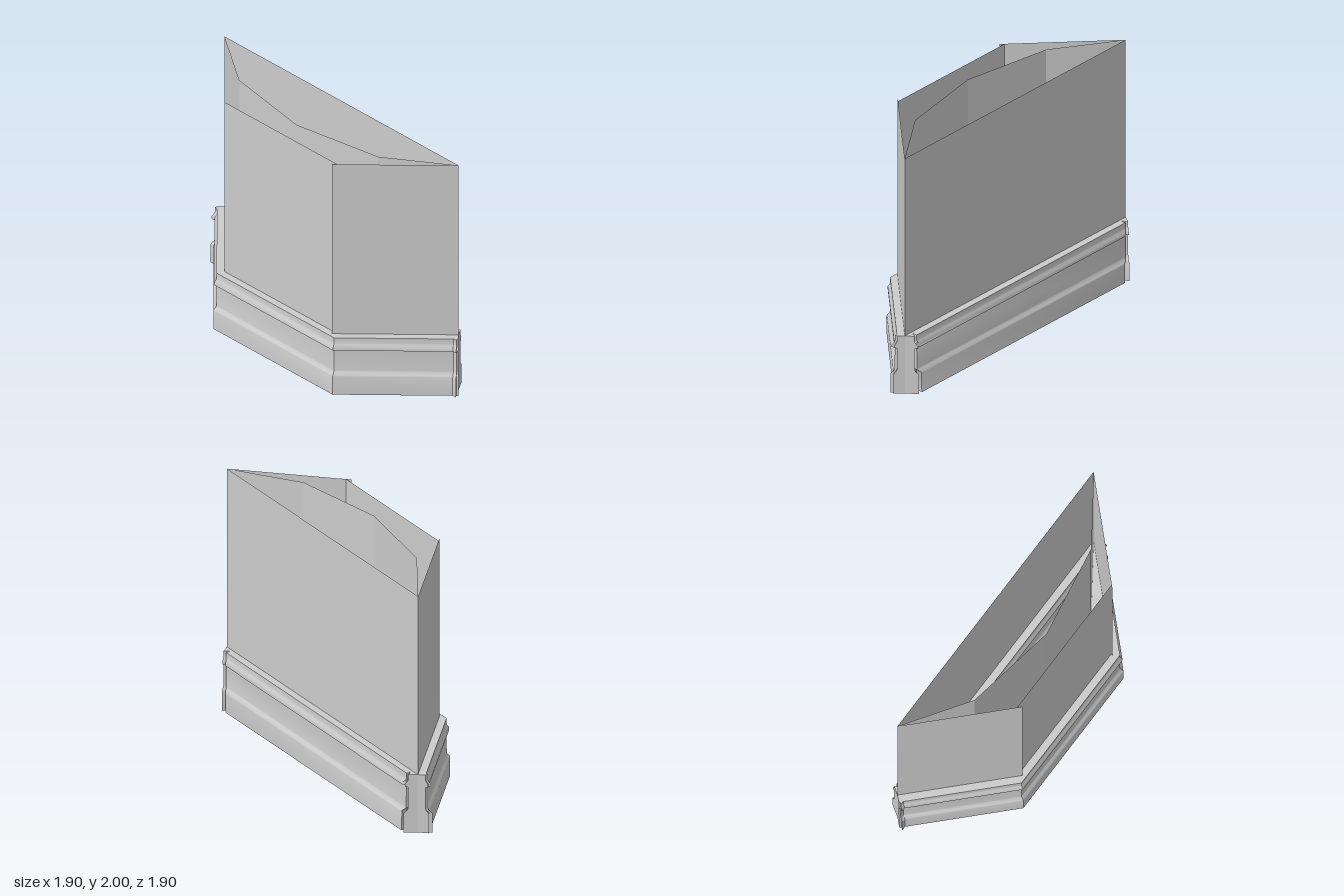
import * as THREE from 'three';
import { toCreasedNormals } from 'three/addons/utils/BufferGeometryUtils.js';

const V = (x, z) => new THREE.Vector2(x, z); // plan points: x, z
const BASE_TOP = 0.49, WALL_TOP = 2;
const END_FLARE = 1.3; // widening of the section at a flared end

// Half of the double-sided skirting section: [half width, height]
const half = [
  [0.083, 0], [0.083, 0.16], [0.08, 0.17], [0.062, 0.19], [0.059, 0.205], [0.058, 0.385],
  [0.076, 0.388], [0.076, 0.41], [0.061, 0.435], [0.058, 0.445], [0.058, BASE_TOP],
];
const ring = [...half, ...half.map(([s, y]) => [-s, y]).reverse()];
const capFaces = THREE.ShapeUtils.triangulateShape(ring.map(([s, y]) => V(s, y)), []);

// Panels are thin and the skirting is open below, so both sides show
const mat = new THREE.MeshStandardMaterial({ color: 0xcccccc, side: THREE.DoubleSide });

// One straight run of skirting, open below; each end has a point, a width
// factor, a shift(s) that slides its edge along the run, and an optional cap
function skirtingRun(start, end) {
  const d = end.point.clone().sub(start.point).normalize();
  const n = V(d.y, -d.x);
  const place = ({ point, width, shift }) => ring.map(([s0, y]) => {
    const s = s0 * width, t = shift(s);
    return [point.x + n.x * s + d.x * t, y, point.y + n.y * s + d.y * t];
  });
  const r0 = place(start), r1 = place(end);
  const pos = [];
  const tri = (...pts) => pts.forEach((p) => pos.push(...p));
  for (let i = 0; i + 1 < ring.length; i++) {
    tri(r0[i], r0[i + 1], r1[i + 1]);
    tri(r0[i], r1[i + 1], r1[i]);
  }
  for (const [i, j, k] of capFaces) {
    if (start.cap) tri(r0[i], r0[k], r0[j]);
    if (end.cap) tri(r1[i], r1[j], r1[k]);
  }
  const geo = new THREE.BufferGeometry();
  geo.setAttribute('position', new THREE.Float32BufferAttribute(pos, 3));
  return new THREE.Mesh(toCreasedNormals(geo, 0.7), mat);
}

// Skirting along a path, mitred at the bends; endCut shapes the two free ends
function skirting(name, path, { endCut = () => 0, endWidth = 1 } = {}) {
  const group = new THREE.Group();
  group.name = name;
  const last = path.length - 1;
  // tangent of half the bend angle at an inner point
  const bend = (i) => {
    const u = path[i].clone().sub(path[i - 1]), v = path[i + 1].clone().sub(path[i]);
    return Math.tan(Math.atan2(u.cross(v), u.dot(v)) / 2);
  };
  // side is -1 where a run starts and 1 where it ends
  const joint = (i, side) => {
    const cap = i === 0 || i === last;
    const shift = cap ? (s) => side * endCut(s) : (s) => side * s * bend(i);
    return { point: path[i], width: cap ? endWidth : 1, shift, cap };
  };
  for (let i = 0; i < last; i++) {
    const run = skirtingRun(joint(i, -1), joint(i + 1, 1));
    run.name = `${name}Run${i + 1}`;
    group.add(run);
  }
  return group;
}

// Thin wall panel standing on the skirting
function panel(name, a, b) {
  const d = b.clone().sub(a);
  const mesh = new THREE.Mesh(new THREE.PlaneGeometry(d.length(), WALL_TOP - BASE_TOP), mat);
  mesh.position.set((a.x + b.x) / 2, (WALL_TOP + BASE_TOP) / 2, (a.y + b.y) / 2);
  mesh.rotation.y = Math.atan2(-d.y, d.x);
  mesh.name = name;
  return mesh;
}

export function createModel() {
  const model = new THREE.Group();
  model.name = 'cornerWalls';

  // The plan is symmetric about the line z = -x
  const mirror = (p) => V(-p.y, -p.x);
  const A = V(-0.846, -0.928), C = mirror(A);
  const P = V(-0.839, -0.018), Q = mirror(P);
  const I = V(-0.73, -0.323), M = V(-0.293, 0.293);

  const paths = {
    outer: [A, P, Q, C],
    inner: [A, I, M, mirror(I), C],
    diagonal: [A, C],
  };

  // Skirtings; the inner one flares at its tips, the diagonal one is cut
  // back where it meets the others
  const tip = A.clone().lerp(I, 0.06);
  model.add(skirting('outerSkirting', paths.outer));
  model.add(skirting('innerSkirting', [A, tip, I, M, mirror(I), mirror(tip), C],
    { endWidth: END_FLARE }));
  model.add(skirting('diagonalSkirting', paths.diagonal, { endCut: (s) => -1.2 * Math.abs(s) }));

  // Wall panels
  for (const [name, path] of Object.entries(paths)) {
    for (let i = 0; i + 1 < path.length; i++) {
      const a = path[i].clone(), b = path[i + 1].clone();
      // side and front panels run slightly past the bevelled panel
      if (name === 'outer' && i === 0) b.y += 0.04;
      if (name === 'outer' && i === 2) a.x -= 0.04;
      model.add(panel(`${name}Wall${i + 1}`, a, b));
    }
  }
  return model;
}
